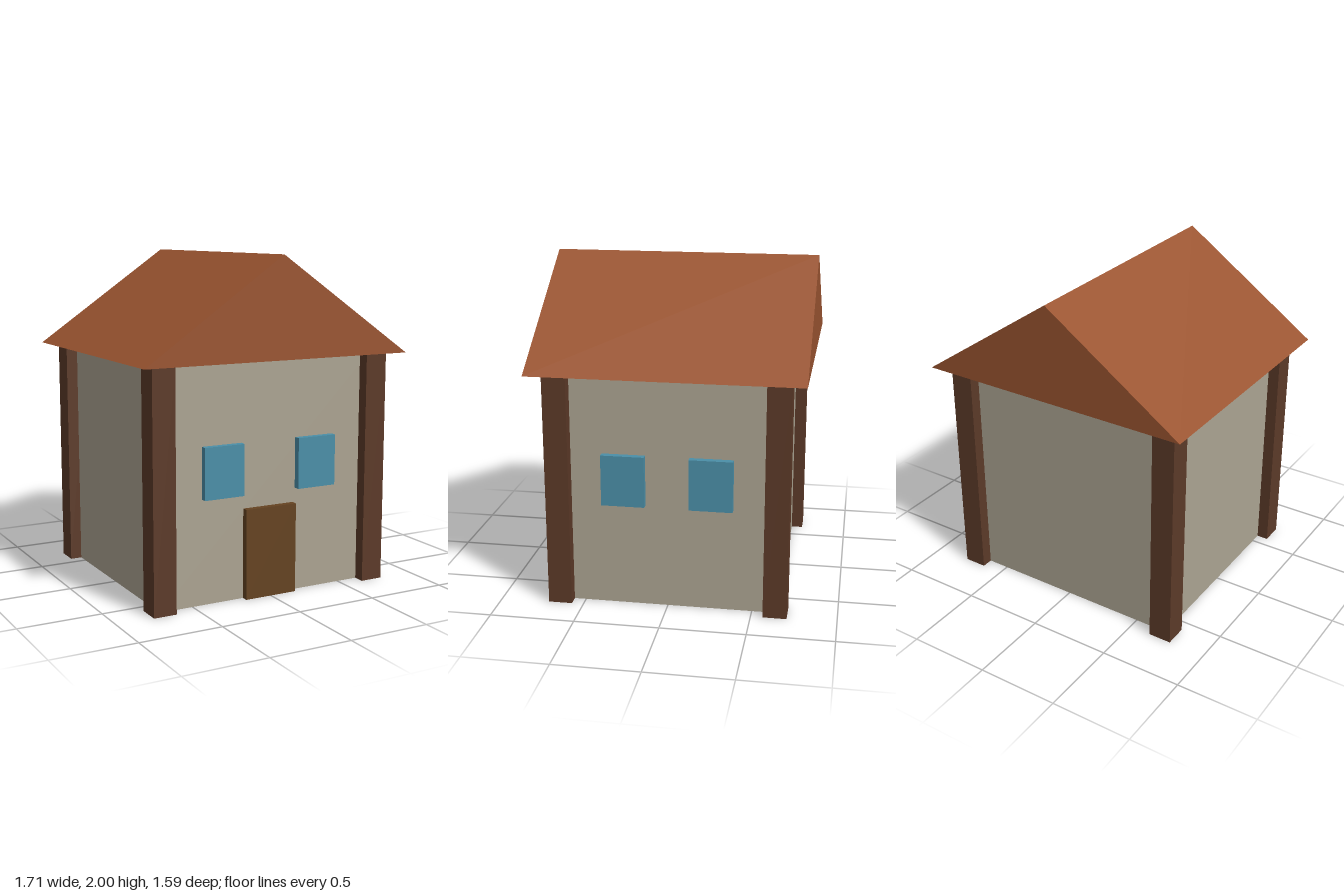
import * as THREE from 'three';

const WALL_X = 0.705, WALL_Z = 0.64, EAVE = 1.41;

const paint = (color) => new THREE.MeshStandardMaterial({ color, flatShading: true });

export function createModel() {
  const house = new THREE.Group();
  house.name = 'house';
  const wallPaint = paint(0xaca492);
  const postPaint = paint(0x5c3a28);
  const glassPaint = paint(0x4b8fa8);
  const doorPaint = paint(0x654321);
  const roofPaint = paint(0x9a5430);

  // Box given by its size and the centre of its base
  const box = (name, material, w, h, d, x, y, z) => {
    const mesh = new THREE.Mesh(new THREE.BoxGeometry(w, h, d), material);
    mesh.name = name;
    mesh.position.set(x, y + h / 2, z);
    house.add(mesh);
  };

  box('walls', wallPaint, WALL_X * 2, EAVE, WALL_Z * 2, 0, 0, 0);

  // Timber posts centred on the wall corners
  for (const [sx, xName] of [[1, 'Left'], [-1, 'Right']]) {
    for (const [sz, zName] of [[1, 'front'], [-1, 'back']]) {
      box(`${zName}${xName}Post`, postPaint, 0.14, EAVE, 0.14, sx * WALL_X, 0, sz * WALL_Z);
    }
  }

  // Door and windows stand slightly proud of the front and left walls
  const proud = 0.04, thick = proud * 2;
  box('door', doorPaint, 0.335, 0.54, thick, 0, 0, WALL_Z);
  for (const s of [1, -1]) {
    box('frontWindow', glassPaint, 0.255, 0.305, thick, s * 0.31, 0.625, WALL_Z);
    box('sideWindow', glassPaint, thick, 0.305, 0.255, WALL_X, 0.625, s * 0.257);
  }

  // Solid gabled roof with overhanging eaves
  const gable = new THREE.Shape([
    new THREE.Vector2(-0.857, EAVE),
    new THREE.Vector2(0.857, EAVE),
    new THREE.Vector2(0, 2),
  ]);
  const depth = 1.59;
  const roofGeometry = new THREE.ExtrudeGeometry(gable, { depth, bevelEnabled: false });
  roofGeometry.translate(0, 0, -depth / 2);
  const roof = new THREE.Mesh(roofGeometry, roofPaint);
  roof.name = 'roof';
  house.add(roof);

  return house;
}
